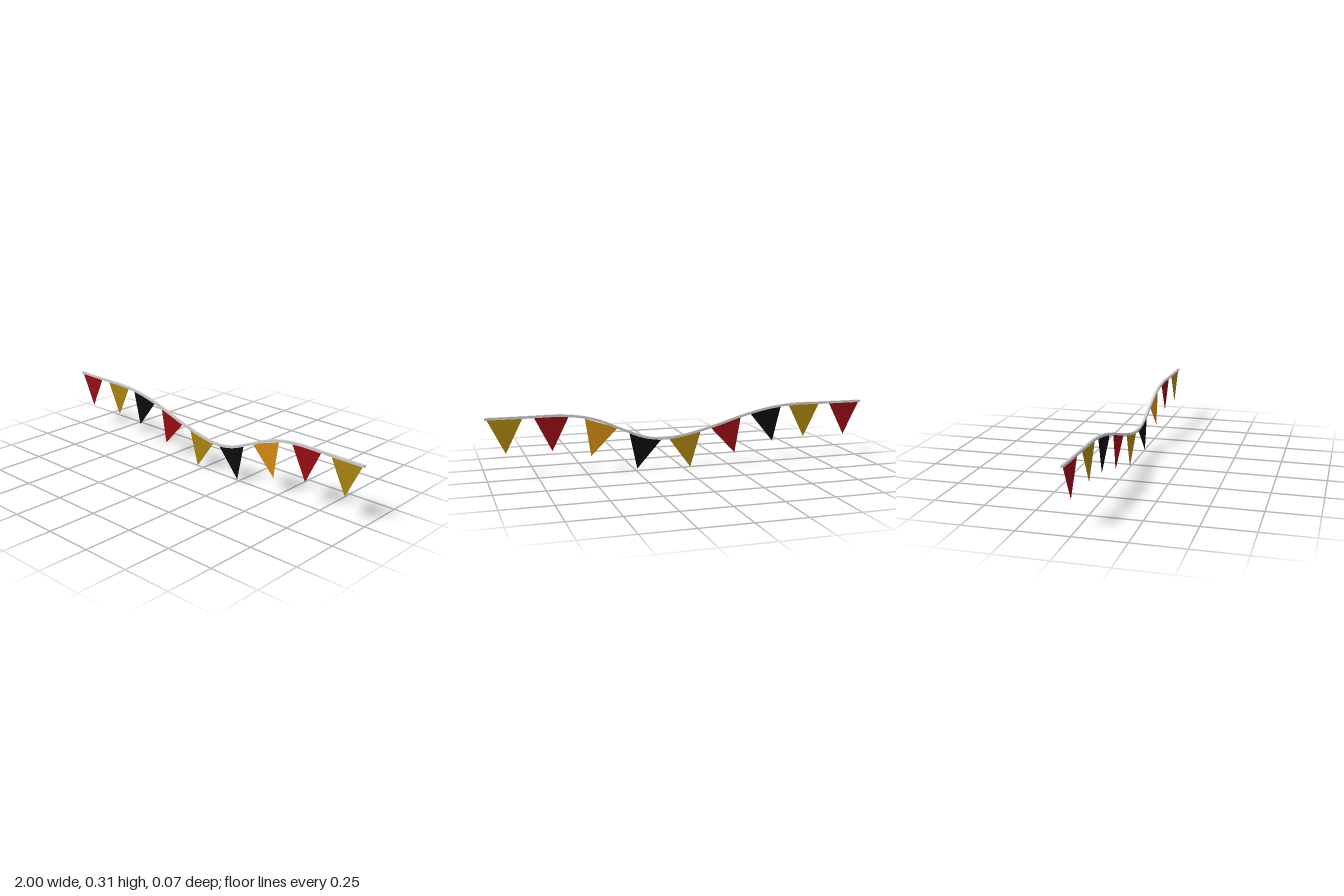
import * as THREE from 'three';
import { toCreasedNormals } from 'three/addons/utils/BufferGeometryUtils.js';

const THICK = 0.012; // square cord section
const FLAG = 0.175;  // pennant width and drop

const RED = 0x950c12, GOLD = 0xa5820f, BLACK = 0x0c0c0c, ORANGE = 0xcf8812;

// Centre line of the cord, level at both ends with an off-centre sag
const cordPath = new THREE.CatmullRomCurve3([
  [-1, 0.306], [-0.8, 0.306], [-0.6, 0.306], [-0.46, 0.29], [-0.31, 0.254],
  [-0.15, 0.206], [0, 0.171], [0.1, 0.16], [0.2, 0.173], [0.32, 0.22],
  [0.43, 0.268], [0.52, 0.293], [0.63, 0.306], [0.8, 0.306], [1, 0.306],
].map(([x, y]) => new THREE.Vector3(x, y, 0)));

// Pennants: top-edge centre x, y, tilt, colour
const pennants = [
  [-0.905, 0.303, 0, RED],
  [-0.672, 0.303, 0, GOLD],
  [-0.456, 0.284, -0.22, BLACK],
  [-0.233, 0.230, -0.29, RED],
  [-0.011, 0.173, -0.17, GOLD],
  [0.198, 0.178, 0.26, BLACK],
  [0.425, 0.256, 0.32, ORANGE],
  [0.674, 0.303, 0, RED],
  [0.903, 0.303, 0, GOLD],
];

function buildCord() {
  // Offset the centre line both ways to get the cord's side outline
  const upper = [], lower = [], n = 80;
  for (let i = 0; i <= n; i++) {
    const p = cordPath.getPointAt(i / n), t = cordPath.getTangentAt(i / n);
    const dx = -t.y * THICK / 2, dy = t.x * THICK / 2;
    upper.push(new THREE.Vector2(p.x + dx, p.y + dy));
    lower.push(new THREE.Vector2(p.x - dx, p.y - dy));
  }
  const outline = new THREE.Shape([...lower, ...upper.reverse()]);
  const geometry = new THREE.ExtrudeGeometry(outline, { depth: THICK, bevelEnabled: false });
  geometry.translate(0, 0, -THICK / 2);
  const cord = new THREE.Mesh(toCreasedNormals(geometry, 0.6),
    new THREE.MeshStandardMaterial({ color: 0xcccccc }));
  cord.name = 'cord';
  return cord;
}

export function createModel() {
  const model = new THREE.Group();
  model.name = 'bunting';
  model.add(buildCord());

  // Thin cloth triangle hanging from the middle of its top edge
  const triangle = new THREE.ShapeGeometry(new THREE.Shape([
    new THREE.Vector2(-FLAG / 2, 0), new THREE.Vector2(0, -FLAG), new THREE.Vector2(FLAG / 2, 0),
  ]));
  pennants.forEach(([x, y, tilt, color], i) => {
    const flag = new THREE.Mesh(triangle,
      new THREE.MeshStandardMaterial({ color, side: THREE.DoubleSide }));
    flag.name = `pennant${i + 1}`;
    flag.position.set(x, y, 0);
    flag.rotation.z = tilt;
    model.add(flag);
  });

  // The whole string runs slightly askew to the x axis
  model.rotation.y = -0.031;
  return model;
}
